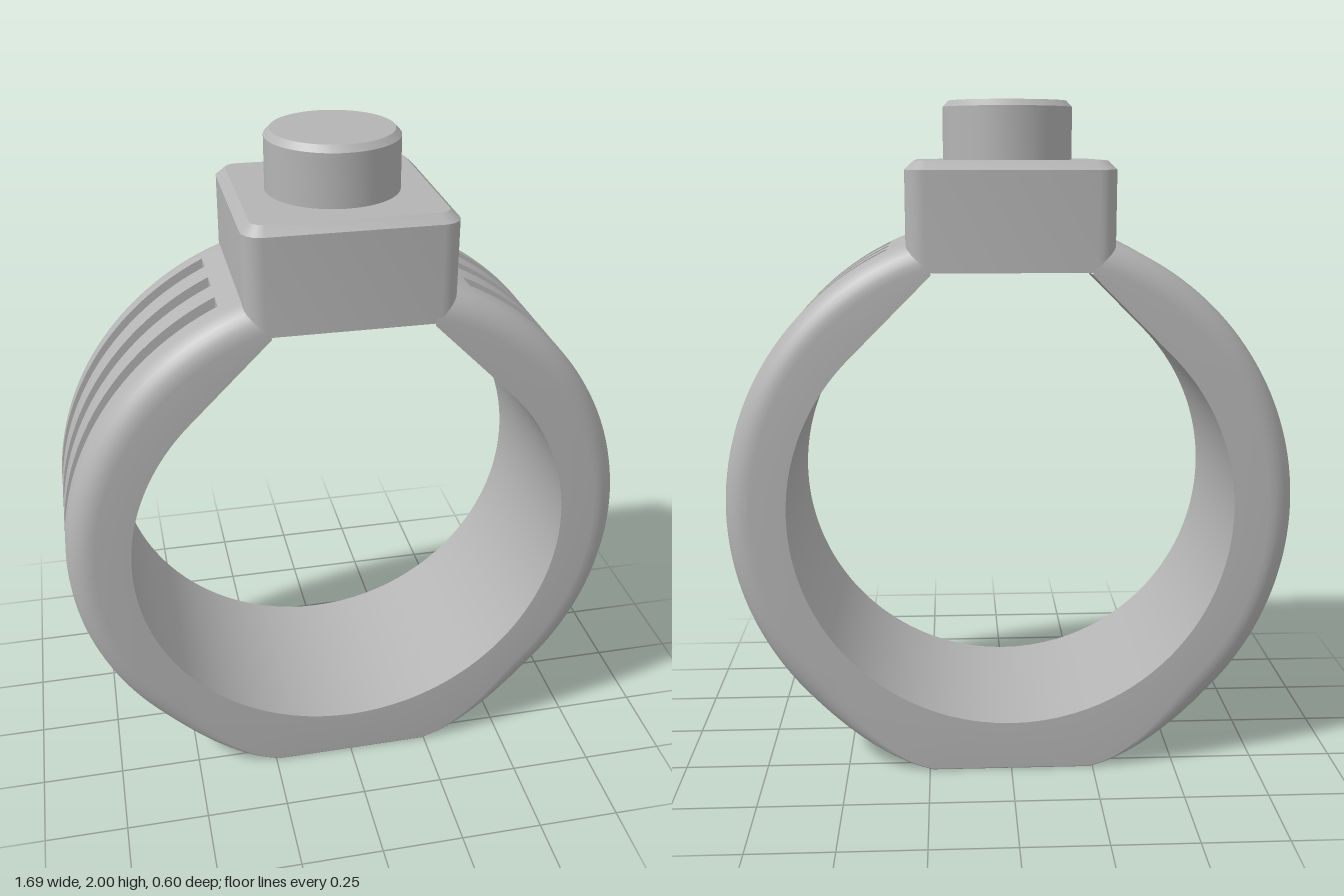
import * as THREE from 'three';
import { toCreasedNormals } from 'three/addons/utils/BufferGeometryUtils.js';

const CY = 0.81, R_OUT = 0.845, R_IN = 0.66, HALF = 0.3;
const rad = THREE.MathUtils.degToRad;

// Skin a row of closed sections (arrays of Vector3), optionally capped
function loft(sections, caps) {
  const pos = [], n = sections[0].length;
  const tri = (...v) => v.forEach((p) => pos.push(p.x, p.y, p.z));
  for (let s = 0; s < sections.length - 1; s++) {
    const A = sections[s], B = sections[s + 1];
    for (let i = 0; i < n; i++) {
      const j = (i + 1) % n;
      tri(A[i], B[i], B[j]);
      tri(A[i], B[j], A[j]);
    }
  }
  if (caps) {
    const A = sections[0], B = sections[sections.length - 1];
    for (let i = 1; i < n - 1; i++) {
      tri(A[0], A[i], A[i + 1]);
      tri(B[0], B[i + 1], B[i]);
    }
  }
  const g = new THREE.BufferGeometry();
  g.setAttribute('position', new THREE.Float32BufferAttribute(pos, 3));
  return toCreasedNormals(g, 0.5);
}

// Band cross-section at an angle: filleted outer edges, three grooves, flat inside
function bandSection(deg, depth) {
  const a = deg < -90 ? -180 - deg : deg; // matching angle on the +x half
  const t = rad(deg), ta = rad(a);
  // flat foot cuts the outer circle; straight shoulders leave the inner one
  const rOut = a < -73.4 ? CY / -Math.sin(ta) : R_OUT;
  const rIn = a > 45 ? R_IN / Math.cos(ta - Math.PI / 4) : R_IN;
  const f = Math.max(0.004, 0.08 * THREE.MathUtils.smoothstep(a, -73.4, -42));
  const prof = [];
  for (let i = 0; i <= 7; i++) {
    const u = (i / 7) * Math.PI / 2;
    prof.push([-HALF + f * (1 - Math.cos(u)), rOut - f * (1 - Math.sin(u))]);
  }
  for (const z of [-0.15, 0, 0.15]) {
    const l = z - 0.033, r = z + 0.033;
    prof.push([l, rOut], [l, rOut - depth], [r, rOut - depth], [r, rOut]);
  }
  for (let i = 7; i >= 0; i--) prof.push([-prof[i][0], prof[i][1]]);
  prof.push([HALF, rIn], [-HALF, rIn]);
  return prof.map(([z, r]) => new THREE.Vector3(r * Math.cos(t), CY + r * Math.sin(t), z));
}

function makeBand() {
  const GROOVE = 0.03;
  // angle and groove depth along the +x half, from foot to shoulder
  const half = [];
  const run = (from, to, steps, depth) => {
    for (let i = 0; i <= steps; i++) half.push([from + (to - from) * i / steps, depth]);
  };
  run(-90, -73.4, 4, 0);
  run(-72, -59.8, 6, 0);
  run(-59.75, 63.8, 60, GROOVE);
  run(64.8, 72, 4, 0);
  const left = half.slice(1).reverse().map(([a, d]) => [-180 - a, d]);
  return loft([...left, ...half].map(([a, d]) => bandSection(a, d)), false);
}

// Rounded square outline at height y
function squareSection(y, h, r) {
  const pts = [];
  for (let q = 0; q < 4; q++) {
    const mid = Math.PI / 4 + q * Math.PI / 2;
    const cx = Math.sign(Math.cos(mid)) * (h - r), cz = Math.sign(Math.sin(mid)) * (h - r);
    for (let i = 0; i <= 6; i++) {
      const u = (q + i / 6) * Math.PI / 2;
      pts.push(new THREE.Vector3(cx + r * Math.cos(u), y, cz + r * Math.sin(u)));
    }
  }
  return pts;
}

export function createModel() {
  const model = new THREE.Group();
  model.name = 'ring';
  const metal = new THREE.MeshStandardMaterial({ color: 0xb4b4b4 });
  metal.name = 'grey metal';
  const add = (name, geometry) => {
    const mesh = new THREE.Mesh(geometry, metal);
    mesh.name = name;
    model.add(mesh);
  };

  // Grooved finger band
  add('band', makeBand());

  // Square head with a chamfered top
  add('head', loft([
    squareSection(1.52, HALF, 0.055),
    squareSection(1.805, HALF, 0.055),
    squareSection(1.83, HALF - 0.027, 0.035),
  ], true));

  // Round button with a chamfered rim
  const profile = [[0.192, 1.82], [0.192, 1.982], [0.175, 2], [0, 2]];
  const lathe = new THREE.LatheGeometry(profile.map(([x, y]) => new THREE.Vector2(x, y)), 64);
  add('button', toCreasedNormals(lathe, 0.5));

  return model;
}
